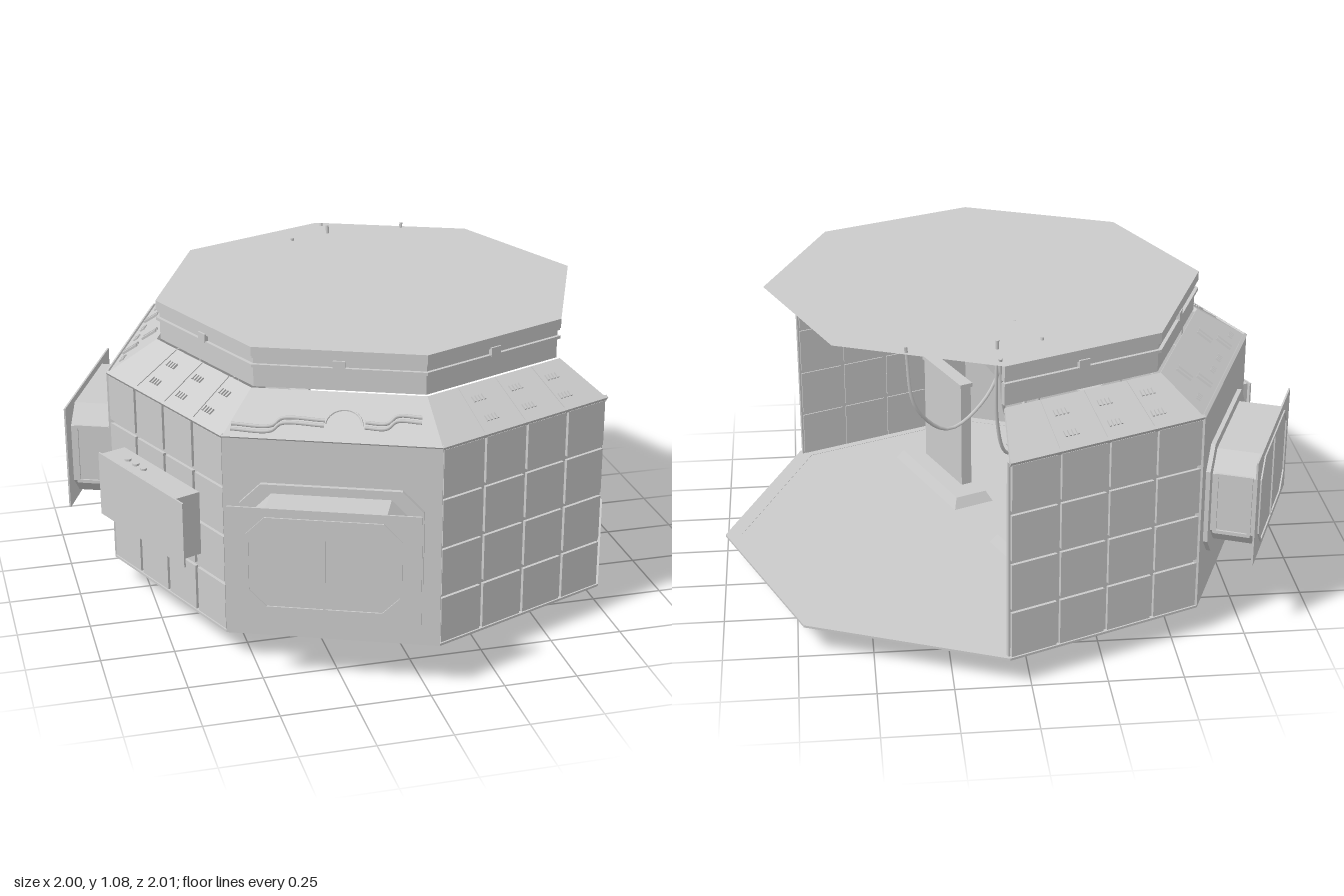
import * as THREE from 'three';

const mat = new THREE.MeshStandardMaterial({ color: 0xcccccc, flatShading: true, side: THREE.DoubleSide });
const smooth = new THREE.MeshStandardMaterial({ color: 0xcccccc });
const RAD = Math.PI / 180;
const R = 0.93, TOP_R = 0.75;                       // floor and roof circumradius
const AP = R * Math.cos(22.5 * RAD), W = 2 * R * Math.sin(22.5 * RAD);
const TOP_AP = TOP_R * Math.cos(22.5 * RAD), TOP_W = 2 * TOP_R * Math.sin(22.5 * RAD);

function add(parent, name, geo, x = 0, y = 0, z = 0, material = mat) {
  const m = new THREE.Mesh(geo, material);
  m.name = name;
  m.position.set(x, y, z);
  parent.add(m);
  return m;
}
const box = (parent, name, w, h, d, x, y, z) => add(parent, name, new THREE.BoxGeometry(w, h, d), x, y, z);

function group(parent, name) {
  const g = new THREE.Group();
  g.name = name;
  parent.add(g);
  return g;
}

const polygon = pts => pts.map(p => new THREE.Vector2(p[0], p[1]));

// Rectangle with cut corners
function chamfered(w, h, c) {
  const a = w / 2, b = h / 2;
  return polygon([[-a + c, -b], [a - c, -b], [a, -b + c], [a, b - c], [a - c, b], [-a + c, b], [-a, b - c], [-a, -b + c]]);
}
function octagon(r) {
  return polygon([...Array(8)].map((_, i) => [r * Math.cos(i * 45 * RAD), r * Math.sin(i * 45 * RAD)]));
}
function extrude(outer, depth, hole) {
  const s = new THREE.Shape(outer);
  if (hole) s.holes.push(new THREE.Path(hole));
  return new THREE.ExtrudeGeometry(s, { depth, bevelEnabled: false });
}
function tube(parent, name, pts, r) {
  const curve = new THREE.CatmullRomCurve3(pts.map(p => new THREE.Vector3(...p)));
  return add(parent, name, new THREE.TubeGeometry(curve, 28, r, 6), 0, 0, 0, smooth);
}

// Wall of 4 x 4 panels, relief on both faces
function panelWall(side) {
  const g = group(side, 'panelWall');
  box(g, 'wallCore', W, 0.7, 0.012, 0, 0.45, AP - 0.02);
  for (let i = 0; i < 4; i++) for (let j = 0; j < 4; j++)
    box(g, 'wallPanel', W / 4 - 0.014, 0.161, 0.028, (i - 1.5) * W / 4, 0.1875 + j * 0.175, AP - 0.017);
}

// Wall with an opening and a projecting bay closed by a shutter plate
function windowWall(side) {
  const g = group(side, 'windowWall');
  const hole = chamfered(0.5, 0.32, 0.06);
  const wall = polygon([[-W / 2, -0.35], [W / 2, -0.35], [W / 2, 0.35], [-W / 2, 0.35]]);
  add(g, 'wallPlate', extrude(wall, 0.02, hole), 0, 0.45, AP - 0.02);
  for (const z of [AP, AP - 0.035])
    add(g, 'windowFrame', extrude(chamfered(0.6, 0.4, 0.07), 0.015, hole), 0, 0.45, z);
  add(g, 'bayShell', extrude(chamfered(0.52, 0.34, 0.065), 0.165, hole), 0, 0.45, AP);
  // Framed recess on each end of the bay
  for (const s of [-1, 1]) {
    for (const z of [0.03, 0.145]) box(g, 'bayEndFrame', 0.01, 0.22, 0.012, s * 0.262, 0.45, AP + z);
    for (const y of [0.345, 0.555]) box(g, 'bayEndFrame', 0.01, 0.012, 0.12, s * 0.262, y, AP + 0.088);
  }
  box(g, 'shutterPlate', 0.62, 0.38, 0.006, 0, 0.45, AP + 0.17);
  add(g, 'shutterRim', extrude(chamfered(0.5, 0.32, 0.06), 0.006, chamfered(0.484, 0.304, 0.056)), 0, 0.45, AP + 0.172);
  box(g, 'shutterSeam', 0.008, 0.304, 0.006, 0, 0.45, AP + 0.175);
}

// Sloping roof section; returns a group whose y runs up the slope
function slope(side) {
  const rise = 0.11, run = AP - TOP_AP, len = Math.hypot(rise, run);
  const g = group(side, 'roofSlope');
  g.position.set(0, 0.8, AP);
  g.rotation.x = -Math.atan2(run, rise);
  const shape = polygon([[-W / 2, 0], [W / 2, 0], [TOP_W / 2, len], [-TOP_W / 2, len]]);
  add(g, 'slopePlate', extrude(shape, 0.012), 0, 0, -0.012);
  box(g, 'eaveTrim', W, 0.012, 0.012, 0, 0.006, 0);
  return g;
}
function vents(g) {
  for (const x of [-0.16, 0, 0.16]) {
    const seam = box(g, 'slopeSeam', 0.006, 0.195, 0.006, x * 1.04, 0.1, 0);
    seam.rotation.z = x * 0.5;
    for (const y of [0.06, 0.14]) for (let k = 0; k < 4; k++)
      box(g, 'ventSlot', 0.007, 0.022, 0.012, x + 0.025 + k * 0.014, y, 0);
  }
}
function louvres(g) {
  for (const x of [-0.2, 0.13]) for (let k = 0; k < 2; k++) {
    box(g, 'louvre', 0.012, 0.06, 0.016, x + k * 0.025, 0.13, 0);
    box(g, 'louvre', 0.012, 0.06, 0.016, x + 0.05 + k * 0.025, 0.06, 0);
  }
  for (const x of [-0.28, -0.05, 0.05, 0.26]) for (let k = 0; k < 4; k++)
    box(g, 'ventSlot', 0.006, 0.018, 0.01, x + k * 0.012, 0.05, 0);
}
function slopePipes(g) {
  for (const y of [0.03, 0.05]) {
    tube(g, 'slopePipe', [[-0.33, y, 0.008], [-0.2, y, 0.008], [-0.17, y + 0.03, 0.008], [-0.03, y + 0.03, 0.008]], 0.006);
    tube(g, 'slopePipe', [[0.1, y + 0.03, 0.008], [0.17, y + 0.03, 0.008], [0.2, y + 0.06, 0.008], [0.28, y + 0.06, 0.008]], 0.006);
  }
  add(g, 'slopeArc', new THREE.TorusGeometry(0.06, 0.004, 6, 16, Math.PI), 0.03, 0.07, 0);
}

// Stacked bands under the roof edge
function roofBands(side) {
  for (const [y, h, inset] of [[0.945, 0.07, 0.012], [0.985, 0.01, 0], [1.0, 0.02, 0.012], [1.014, 0.008, 0.004], [1.034, 0.032, 0]]) {
    const z = TOP_AP - inset, w = 2 * z * Math.tan(22.5 * RAD);
    box(side, 'roofBand', w, h, 0.02, 0, y, z - 0.01);
  }
  box(side, 'bandClip', 0.04, 0.03, 0.015, 0, 1.0, TOP_AP - 0.005);
}

// Equipment locker on the outside of the left-hand wall
function locker(side) {
  const g = group(side, 'equipmentLocker');
  box(g, 'lockerBody', 0.47, 0.225, 0.09, -0.02, 0.445, AP + 0.045);
  box(g, 'lockerCover', 0.53, 0.23, 0.006, 0, 0.445, AP + 0.096);
  for (const x of [-0.15, -0.1, -0.05]) {
    const knob = add(g, 'lockerKnob', new THREE.CylinderGeometry(0.012, 0.012, 0.01, 10), x, 0.56, AP + 0.05);
    knob.name = 'lockerKnob';
  }
  // Pipes with valves on the inner face
  for (const x of [-0.19, -0.165, -0.14]) {
    add(g, 'innerPipe', new THREE.CylinderGeometry(0.008, 0.008, 0.23, 8), x, 0.445, AP - 0.045);
    for (const y of [0.37, 0.43]) add(g, 'valve', new THREE.SphereGeometry(0.014, 8, 6), x, y, AP - 0.05);
  }
}

// Seat: box under the floor, tapered cushion and upright back
function seat(parent, x) {
  const g = group(parent, 'seat');
  g.position.set(x, 0, 0.03);
  box(g, 'seatBase', 0.5, 0.1, 0.16, 0, 0.05, 0);
  for (let i = 0; i < 5; i++) box(g, 'baseRib', 0.006, 0.092, 0.166, (i - 2) * 0.122, 0.05, 0);
  const cushion = new THREE.BoxGeometry(0.5, 0.04, 0.16);
  const p = cushion.attributes.position;
  for (let i = 0; i < p.count; i++) if (p.getY(i) > 0) p.setXYZ(i, p.getX(i) * 0.9, p.getY(i), p.getZ(i) * 0.75);
  add(g, 'seatCushion', cushion, 0, 0.12, 0);
  box(g, 'seatBack', 0.3, 0.4, 0.04, 0, 0.345, 0.02);
  box(g, 'seatBackCap', 0.31, 0.015, 0.05, 0, 0.545, 0.02);
}

export function createModel() {
  const model = group(new THREE.Group(), 'octagonalCabin');
  model.removeFromParent();
  const cabin = group(model, 'cabin');
  cabin.position.set(0.07, 0, -0.07);

  // Floor with a thin rim, and flat roof
  const flat = (name, geo, y) => { add(cabin, name, geo.rotateX(-Math.PI / 2), 0, y, 0); };
  flat('floor', extrude(octagon(R), 0.006), 0.098);
  flat('floorRim', extrude(octagon(R), 0.008, octagon(R - 0.06)), 0.097);
  flat('roof', new THREE.ShapeGeometry(new THREE.Shape(octagon(TOP_R))), 1.05);

  // Five walled sides; the other three stay open
  const sides = [
    [22.5, panelWall, vents], [-22.5, windowWall, slopePipes], [-67.5, panelWall, vents],
    [-112.5, windowWall, louvres], [-157.5, panelWall, vents],
  ];
  for (const [angle, wall, details] of sides) {
    const side = group(cabin, 'side');
    side.rotation.y = angle * RAD;
    wall(side);
    details(slope(side));
    roofBands(side);
    if (angle === -67.5) {
      locker(side);
      for (const x of [-0.385, 0.385]) seat(side, x);
    }
  }

  // Cables hanging through the roof
  const cables = [
    [[0, 1.05, -0.45], [0.1, 0.82, -0.53], [0.23, 0.74, -0.6], [0.34, 0.85, -0.66], [0.37, 1.07, -0.68]],
    [[-0.07, 1.06, -0.62], [-0.04, 0.75, -0.65], [0, 0.64, -0.58], [0.03, 0.63, -0.5]],
    [[0.08, 1.08, -0.68], [0.08, 0.8, -0.66], [0.05, 0.66, -0.62], [0, 0.63, -0.57]],
    [[0.08, 1.06, -0.78], [0.06, 0.85, -0.7], [0.02, 0.75, -0.62], [-0.04, 0.85, -0.54]],
  ];
  for (const pts of cables) tube(model, 'cable', pts, 0.006);
  return model;
}
